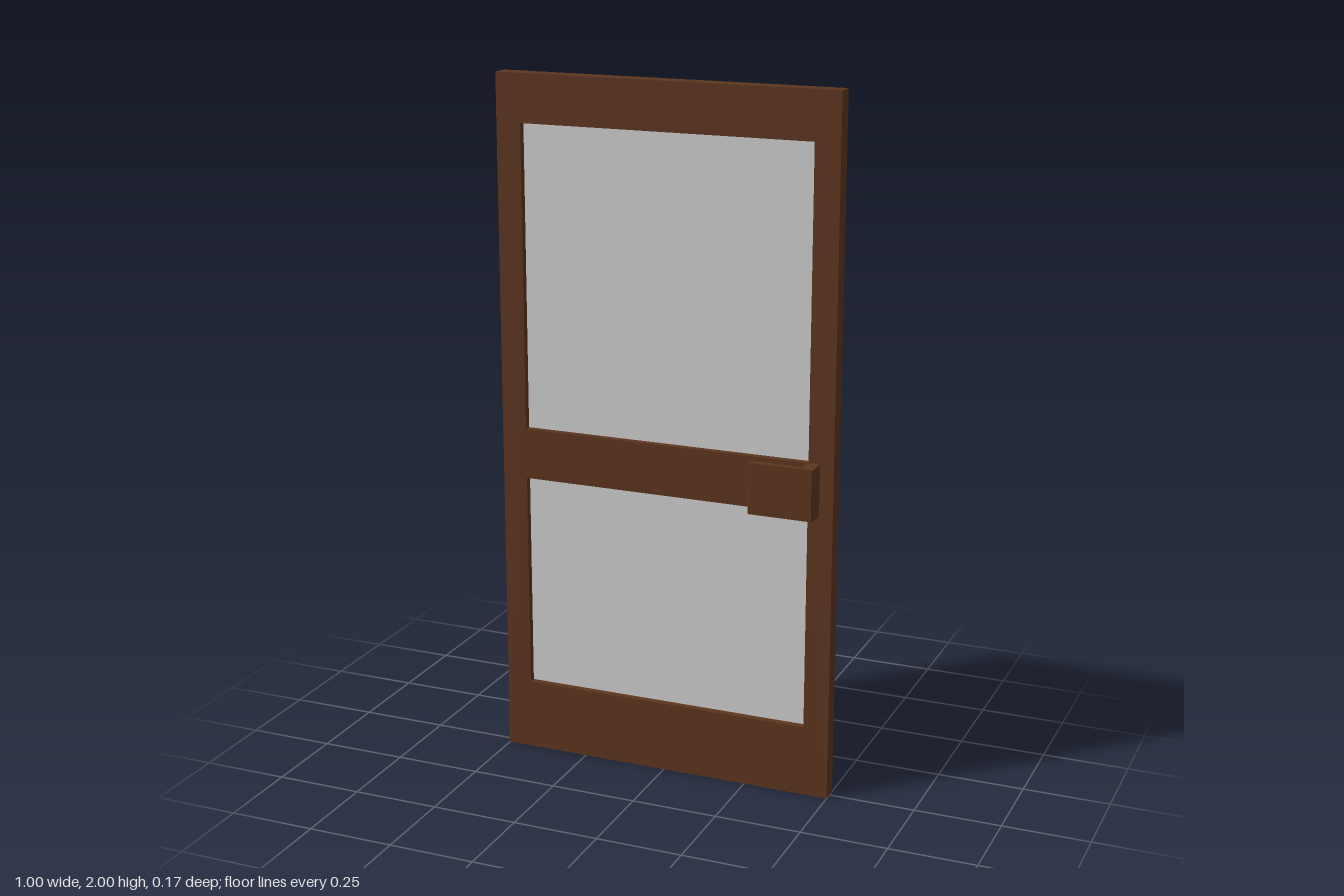
import * as THREE from 'three';

const brown = new THREE.MeshStandardMaterial({ color: 0x5c341e });
const grey = new THREE.MeshStandardMaterial({ color: 0xcccccc });

const HALF_W = 0.5, HEIGHT = 2, DEPTH = 0.05, OPEN_X = 0.427;
// bottom and top of the two window openings
const OPENINGS = { lowerGlass: [0.207, 0.84], upperGlass: [0.987, 1.863] };

function polygon(points, Type = THREE.Shape) {
  return new Type(points.map(([x, y]) => new THREE.Vector2(x, y)));
}

function rectangle(x, y0, y1, Type) {
  return polygon([[-x, y0], [x, y0], [x, y1], [-x, y1]], Type);
}

function addMesh(group, name, geometry, material) {
  const mesh = new THREE.Mesh(geometry, material);
  mesh.name = name;
  group.add(mesh);
  return mesh;
}

// L-shaped pull: a stem off the door face carrying a flat plate, seen from above
function handleGeometry(side) {
  const face = DEPTH / 2, inner = 0.066, outer = 0.085, c = 0.003;
  const outline = [
    [0.422, face], [0.46, face], [0.46, outer - c], [0.46 - c, outer],
    [0.273 + c, outer], [0.273, outer - c], [0.273, inner], [0.422, inner],
  ];
  const shape = polygon(outline.map(([x, z]) => [x, -side * z]));
  const geometry = new THREE.ExtrudeGeometry(shape, { depth: 0.147, bevelEnabled: false });
  return geometry.rotateX(-Math.PI / 2).translate(0, 0.84, 0);
}

export function createModel() {
  const door = new THREE.Group();
  door.name = 'door';

  // Frame: one slab with two window openings
  const slab = rectangle(HALF_W, 0, HEIGHT);
  for (const [y0, y1] of Object.values(OPENINGS)) {
    slab.holes.push(rectangle(OPEN_X, y0, y1, THREE.Path));
  }
  const frame = new THREE.ExtrudeGeometry(slab, { depth: DEPTH, bevelEnabled: false });
  addMesh(door, 'frame', frame.translate(0, 0, -DEPTH / 2), brown);

  // Thin panes in the middle of the frame
  for (const [name, [y0, y1]] of Object.entries(OPENINGS)) {
    const pane = addMesh(door, name, new THREE.BoxGeometry(2 * OPEN_X, y1 - y0, 0.01), grey);
    pane.position.y = (y0 + y1) / 2;
  }

  // Matching handles on both faces
  addMesh(door, 'frontHandle', handleGeometry(1), brown);
  addMesh(door, 'backHandle', handleGeometry(-1), brown);

  return door;
}
